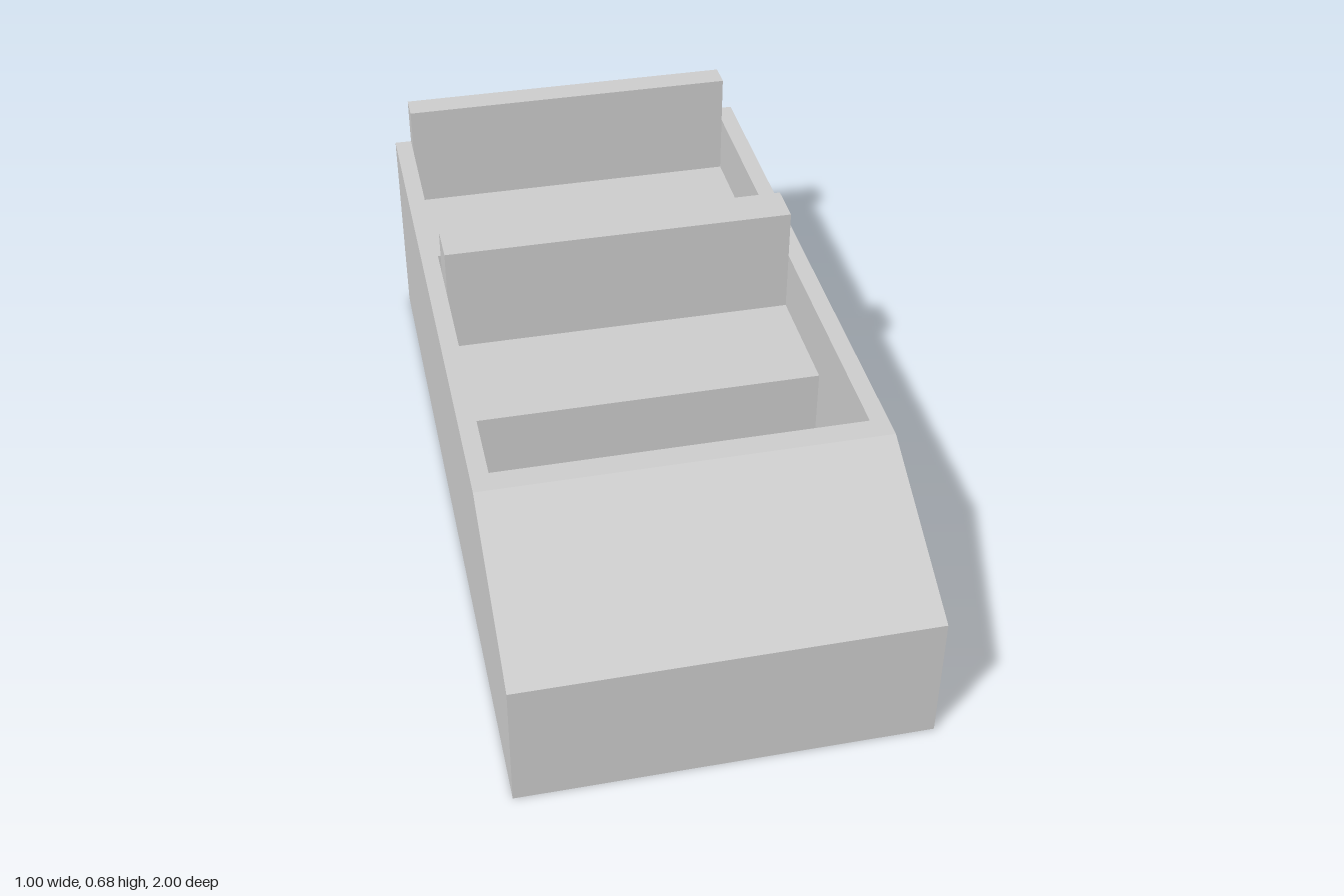
import * as THREE from 'three';

const material = new THREE.MeshStandardMaterial({ color: 0xcccccc, flatShading: true });

const HALF = 0.5;      // half width of the hull
const INNER = 0.455;   // half width of the cockpit
const RIM = 0.55;      // height of the hull rim
const FLOOR = 0.1;     // height of the cockpit floor
const SEAT = 0.39;     // height of the seat cushions

// Extrudes a side profile of [z, y] points between x0 and x1
function profilePart(name, points, x0, x1) {
  const shape = new THREE.Shape(points.map(([z, y]) => new THREE.Vector2(-z, y)));
  const geometry = new THREE.ExtrudeGeometry(shape, { depth: x1 - x0, bevelEnabled: false });
  geometry.rotateY(Math.PI / 2);
  geometry.translate(x0, 0, 0);
  const mesh = new THREE.Mesh(geometry, material);
  mesh.name = name;
  return mesh;
}

// Box spanning the cockpit width, given its z and y ranges
function crossPart(name, z0, z1, y0, y1) {
  const mesh = new THREE.Mesh(new THREE.BoxGeometry(INNER * 2, y1 - y0, z1 - z0), material);
  mesh.position.set(0, (y0 + y1) / 2, (z0 + z1) / 2);
  mesh.name = name;
  return mesh;
}

export function createModel() {
  const model = new THREE.Group();
  model.name = 'openCar';

  // Side walls with the sloping front
  const side = [[-1, 0], [1, 0], [1, 0.34], [0.57, RIM], [-1, RIM]];
  model.add(profilePart('leftSide', side, INNER, HALF));
  model.add(profilePart('rightSide', side, -HALF, -INNER));

  // Nose block and cockpit floor
  const nose = [[0.51, 0], [1, 0], [1, 0.34], [0.57, RIM], [0.51, RIM]];
  model.add(profilePart('nose', nose, -INNER, INNER));
  model.add(crossPart('floor', -1, 0.51, 0, FLOOR));

  // Two bench seats: cushion front, backrest front, backrest rear
  for (const [name, front, back, rear] of [['front', 0.12, -0.2, -0.31], ['rear', -0.63, -0.93, -1]]) {
    const bench = new THREE.Group();
    bench.name = name + 'Bench';
    bench.add(crossPart(name + 'Cushion', back, front, FLOOR, SEAT));
    bench.add(crossPart(name + 'Backrest', rear, back, FLOOR, 0.68));
    model.add(bench);
  }
  return model;
}
